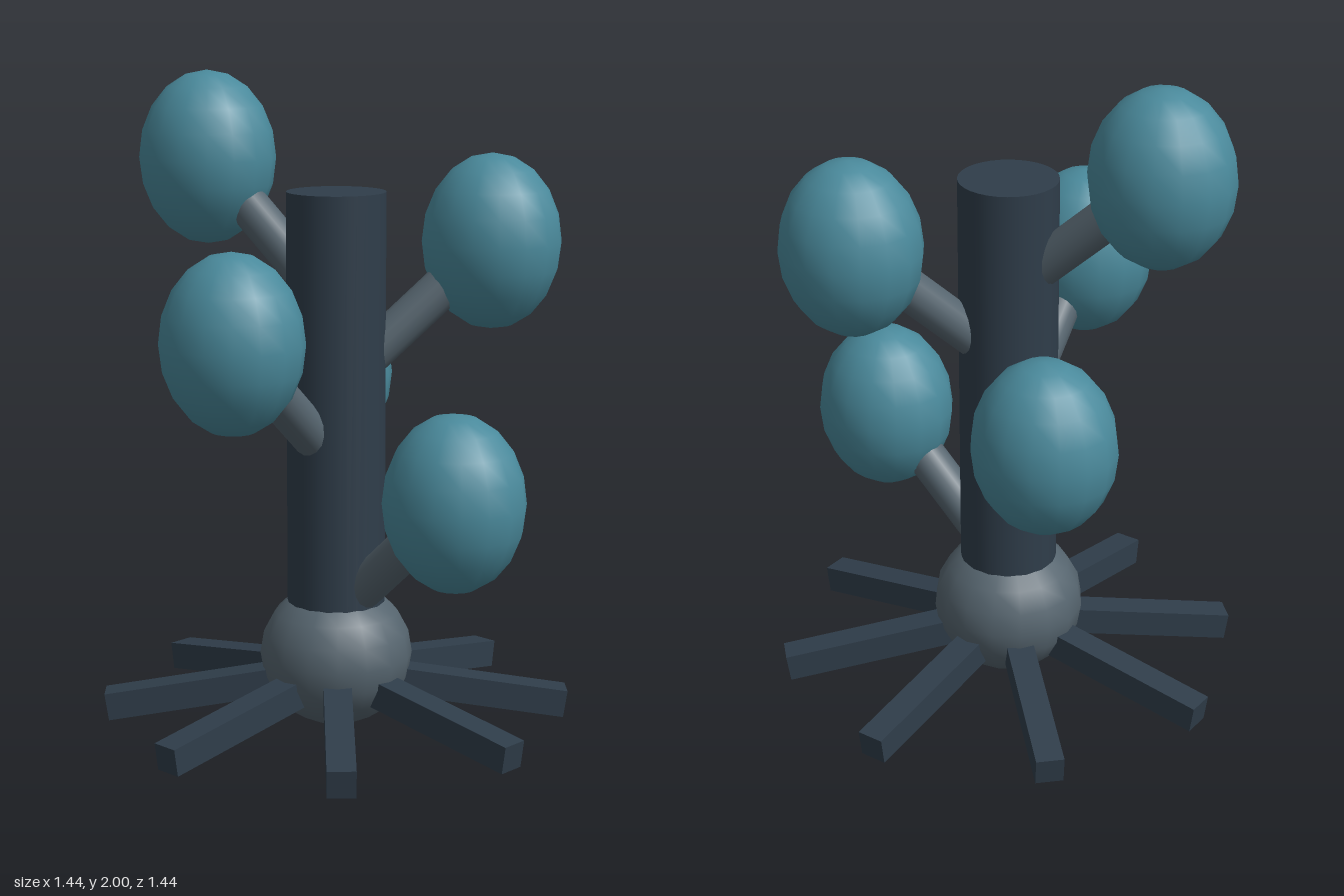
import * as THREE from 'three';

const dark = new THREE.MeshStandardMaterial({ color: 0x2f3d4a });
const grey = new THREE.MeshStandardMaterial({ color: 0x56656f });
const teal = new THREE.MeshStandardMaterial({ color: 0x4a8a9c });

function add(parent, name, geometry, material) {
  const mesh = new THREE.Mesh(geometry, material);
  mesh.name = name;
  parent.add(mesh);
  return mesh;
}

// Round rod between two points
function addRod(parent, name, a, b, radius) {
  const dir = b.clone().sub(a);
  const rod = add(parent, name, new THREE.CylinderGeometry(radius, radius, dir.length(), 16), grey);
  rod.position.copy(a).add(b).multiplyScalar(0.5);
  rod.quaternion.setFromUnitVectors(new THREE.Vector3(0, 1, 0), dir.normalize());
}

export function createModel() {
  const model = new THREE.Group();
  model.name = 'tree';

  // Trunk rising from a slightly flattened bulb
  const trunk = add(model, 'trunk', new THREE.CylinderGeometry(0.15, 0.15, 1.455, 32), dark);
  trunk.position.y = 0.9275;
  const bulb = add(model, 'bulb', new THREE.SphereGeometry(0.235, 16, 10), grey);
  bulb.scale.y = 0.957;
  bulb.position.y = 0.225;

  // Eight square roots sloping down and outward
  for (let i = 0; i < 8; i++) {
    const pivot = new THREE.Group();
    pivot.name = 'root';
    pivot.rotation.y = (i * Math.PI) / 4;
    const beam = add(pivot, 'rootBeam', new THREE.BoxGeometry(0.6, 0.085, 0.085), dark);
    beam.position.set(0.415, 0.106, 0);
    beam.rotation.z = -0.15;
    model.add(pivot);
  }

  // Branches climbing round the trunk, each ending in an egg-shaped leaf ball
  const balls = [
    [0.476, 0.78, 0],
    [-0.352, 1.02, -0.323],
    [0.042, 1.257, 0.473],
    [0.288, 1.497, -0.379],
    [-0.47, 1.733, 0.083],
  ];
  for (const [x, y, z] of balls) {
    const branch = new THREE.Group();
    branch.name = 'branch';
    const centre = new THREE.Vector3(x, y, z);
    const start = new THREE.Vector3(x * 0.17, y - 0.36, z * 0.17);
    addRod(branch, 'branchRod', start, centre, 0.063);
    const ball = add(branch, 'leafBall', new THREE.SphereGeometry(1, 16, 10), teal);
    ball.scale.set(0.218, 0.267, 0.205);
    ball.position.copy(centre);
    model.add(branch);
  }
  return model;
}
